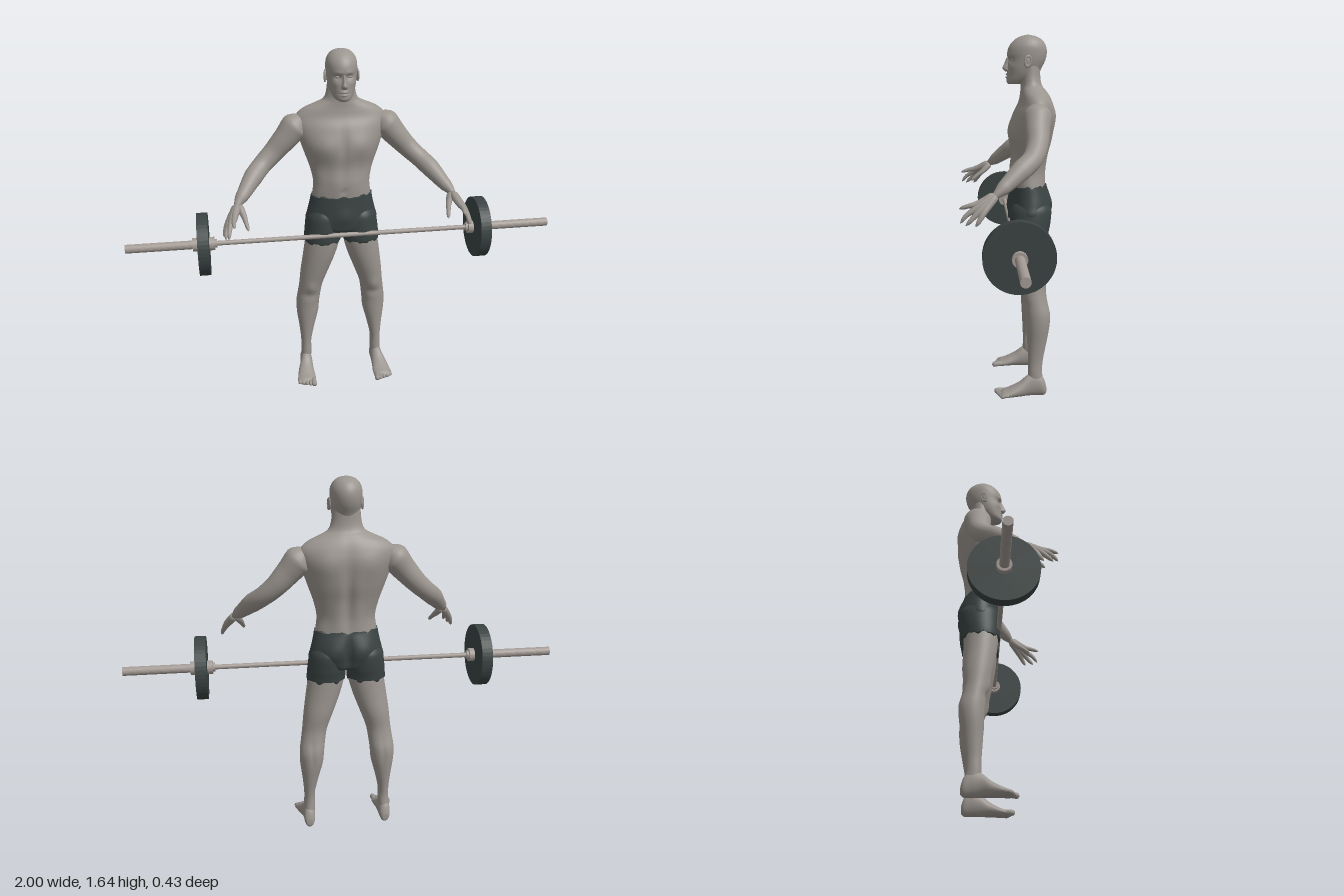
import * as THREE from 'three';
import { mergeVertices, mergeGeometries } from 'three/addons/utils/BufferGeometryUtils.js';

const mat = (name, color, extra = {}) => Object.assign(new THREE.MeshStandardMaterial({ color }), { name, ...extra });

// Smooth interpolation of one value through four neighbours
const spline = (a, b, c, d, t) =>
  b + 0.5 * t * (c - a + t * (2 * a - 5 * b + 4 * c - d + t * (3 * (b - c) + d - a)));

// Loft of elliptical rings. Row: [t, u0, u1, v0, v1]; axis y: u=x, v=z; axis z: u=x, v=y (rows front to back)
function loft(rows, { axis = 'y', seg = 40, sub = 6, sculpt = null } = {}) {
  const rings = [], n = rows.length;
  for (let i = 0; i < n - 1; i++) {
    const q = [-1, 0, 1, 2].map(k => rows[Math.min(n - 1, Math.max(0, i + k))]);
    for (let s = 0; s < sub; s++) rings.push(rows[0].map((_, k) => spline(q[0][k], q[1][k], q[2][k], q[3][k], s / sub)));
  }
  rings.push(rows[n - 1]);
  const collapse = r => [r[0], (r[1] + r[2]) / 2, (r[1] + r[2]) / 2, (r[3] + r[4]) / 2, (r[3] + r[4]) / 2];
  const all = [collapse(rings[0]), ...rings, collapse(rings[rings.length - 1])];
  const pos = [], idx = [];
  all.forEach(([t, u0, u1, v0, v1], i) => {
    for (let j = 0; j < seg; j++) {
      const a = j / seg * Math.PI * 2, c = Math.cos(a), s = Math.sin(a);
      const u = (u0 + u1) / 2 + c * (u1 - u0) / 2, v = (v0 + v1) / 2 + s * (v1 - v0) / 2;
      const p = axis === 'y' ? new THREE.Vector3(u, t, v) : new THREE.Vector3(u, v, t);
      if (sculpt) sculpt(p, s, a, (i - 1) / (all.length - 3));
      pos.push(p.x, p.y, p.z);
      if (i < all.length - 1) {
        const k = (j + 1) % seg, A = i * seg + j, D = i * seg + k;
        idx.push(A, A + seg, D, A + seg, D + seg, D);
      }
    }
  });
  const g = new THREE.BufferGeometry();
  g.setAttribute('position', new THREE.Float32BufferAttribute(pos, 3));
  g.setIndex(idx);
  g.computeVertexNormals();
  return g;
}

// Tapered rounded limb through points [x, y, z, radius]
function limb(pts, n = 24, seg = 16) {
  const curve = new THREE.CatmullRomCurve3(pts.map(p => new THREE.Vector3(...p)));
  const g = new THREE.TubeGeometry(curve, n, 1, seg, false), P = g.attributes.position;
  const v = new THREE.Vector3();
  for (let i = 0; i <= n; i++) {
    const u = i / n, f = curve.getUtoTmapping(u) * (pts.length - 1), k = Math.min(pts.length - 2, Math.floor(f));
    const round = Math.sqrt(Math.min(1, 8 * u + 0.001, 8 * (1 - u) + 0.001));
    const r = THREE.MathUtils.lerp(pts[k][3], pts[k + 1][3], f - k) * round, c = curve.getPointAt(u);
    for (let j = 0; j <= seg; j++) {
      const m = i * (seg + 1) + j;
      v.fromBufferAttribute(P, m).sub(c).multiplyScalar(r).add(c);
      P.setXYZ(m, v.x, v.y, v.z);
    }
  }
  g.deleteAttribute('uv');
  g.deleteAttribute('normal');
  const out = mergeVertices(g, 1e-5);
  out.computeVertexNormals();
  return out;
}

const ball = (x, y, z, a, b, c) => new THREE.SphereGeometry(1, 16, 12).scale(a, b, c).translate(x, y, z);

function mirror(geo) {
  const g = geo.clone().scale(-1, 1, 1), ix = g.index.array;
  for (let i = 0; i < ix.length; i += 3) [ix[i], ix[i + 1]] = [ix[i + 1], ix[i]];
  g.computeVertexNormals();
  return g;
}

// Soft muscle bumps: [x, y, rx, ry, amount, side], mirrored in x
const bumps = list => (p, s) => {
  let dz = 0;
  for (const [x, y, rx, ry, amp, side] of list) if (s * side > 0)
    dz += side * amp * Math.abs(s) * Math.exp(-(((Math.abs(p.x) - x) / rx) ** 2) - ((p.y - y) / ry) ** 2);
  p.z += dz;
};

export function createModel() {
  const model = new THREE.Group();
  const skin = mat('skin grey', 0x9b958f), dark = mat('dark cloth and rubber', 0x3a4342);
  const steel = mat('steel', 0xa39a94);
  const add = (name, geo, m) => {
    const mesh = new THREE.Mesh(geo, m);
    mesh.name = name;
    model.add(mesh);
  };
  const pair = (name, geo, m) => { add(name + 'Left', geo, m); add(name + 'Right', mirror(geo), m); };

  // Torso and neck
  const row = (y, w, zf, zb) => [y, -w, w, zb, zf];
  add('torso', loft([
    row(0.9, 0.14, -0.03, -0.18), row(0.965, 0.138, -0.018, -0.175), row(1.03, 0.132, -0.015, -0.173),
    row(1.1, 0.146, -0.022, -0.185), row(1.17, 0.17, -0.012, -0.204), row(1.23, 0.19, -0.015, -0.212),
    row(1.29, 0.207, -0.03, -0.215), row(1.335, 0.205, -0.052, -0.206), row(1.37, 0.17, -0.06, -0.192),
    row(1.395, 0.115, -0.062, -0.175), row(1.415, 0.08, -0.062, -0.16), row(1.45, 0.066, -0.06, -0.152),
    row(1.51, 0.06, -0.06, -0.15),
  ], { seg: 64, sculpt: bumps([
    [0.085, 1.21, 0.06, 0.05, 0.014, 1], [0, 1.22, 0.012, 0.08, -0.008, 1], // chest
    [0.04, 1.07, 0.025, 0.07, 0.005, 1], [0, 0.995, 0.01, 0.012, -0.008, 1], // stomach and navel
    [0, 1.15, 0.022, 0.16, -0.016, -1], [0.1, 1.27, 0.05, 0.06, 0.01, -1], // spine and shoulder blades
    [0.05, 1.03, 0.03, 0.07, 0.006, -1],
  ]) }), skin);

  // Head with brow, eye sockets, lips and cheeks
  add('head', loft([
    row(1.42, 0.022, -0.008, -0.07), row(1.432, 0.04, 0.001, -0.1), row(1.46, 0.055, -0.001, -0.14),
    row(1.49, 0.063, -0.002, -0.156), row(1.525, 0.068, -0.005, -0.173), row(1.56, 0.07, -0.002, -0.18),
    row(1.59, 0.067, -0.012, -0.175), row(1.615, 0.054, -0.034, -0.158), row(1.63, 0.034, -0.06, -0.132),
    row(1.637, 0.008, -0.088, -0.102),
  ], { seg: 64, sub: 8, sculpt: bumps([
    [0.026, 1.527, 0.014, 0.011, -0.01, 1], [0.025, 1.547, 0.02, 0.008, 0.004, 1],
    [0, 1.463, 0.016, 0.005, 0.006, 1], [0, 1.451, 0.014, 0.005, 0.006, 1],
    [0, 1.457, 0.022, 0.002, -0.005, 1], [0.04, 1.5, 0.014, 0.014, 0.004, 1],
  ]) }), skin);
  add('nose', loft([
    row(1.475, 0.008, 0.004, -0.03), row(1.482, 0.016, 0.013, -0.03), row(1.493, 0.013, 0.02, -0.03),
    row(1.51, 0.009, 0.012, -0.03), row(1.538, 0.007, 0.001, -0.03),
  ], { seg: 20 }), skin);
  pair('eye', ball(0.026, 1.527, -0.027, 0.012, 0.009, 0.012), skin);
  const ear = mergeGeometries([
    new THREE.TorusGeometry(0.014, 0.005, 8, 20).scale(1, 1.5, 1).rotateY(Math.PI / 2),
    ball(0, 0, 0, 0.004, 0.02, 0.013), ball(0, -0.022, 0.004, 0.005, 0.008, 0.007),
  ]).rotateX(-0.15).rotateY(0.25).translate(0.072, 1.522, -0.09);
  pair('ear', ear, skin);

  // Arms held out, with open hands
  pair('arm', limb([
    [0.15, 1.325, -0.125, 0.05], [0.2, 1.296, -0.122, 0.066], [0.25, 1.24, -0.117, 0.056],
    [0.31, 1.175, -0.112, 0.047], [0.365, 1.125, -0.088, 0.043], [0.41, 1.085, -0.04, 0.043],
    [0.455, 1.035, 0.02, 0.032], [0.485, 1.003, 0.06, 0.024], [0.5, 0.98, 0.09, 0.022],
  ], 48, 24), skin);
  const fingers = {
    indexFinger: [[0.505, 0.965, 0.142], [0.51, 0.958, 0.18], [0.508, 0.947, 0.216]],
    middleFinger: [[0.52, 0.952, 0.143], [0.53, 0.925, 0.185], [0.535, 0.893, 0.211]],
    ringFinger: [[0.53, 0.941, 0.134], [0.543, 0.91, 0.165], [0.548, 0.885, 0.19]],
    littleFinger: [[0.535, 0.934, 0.118], [0.549, 0.905, 0.135], [0.555, 0.883, 0.15]],
    thumb: [[0.466, 0.962, 0.098], [0.456, 0.935, 0.135], [0.448, 0.91, 0.165]],
  };
  for (const [name, [a, b, c]] of Object.entries(fingers))
    pair(name, limb([[0.487, 1.0, 0.065, 0.02], [...a, 0.014], [...b, 0.0095], [...c, 0.008]], 20, 10), skin);

  // Legs, rows rising from ankle to hip
  pair('leg', loft([
    [0.03, 0.158, 0.204, -0.168, -0.09], [0.11, 0.152, 0.204, -0.155, -0.09], [0.17, 0.152, 0.203, -0.158, -0.09],
    [0.25, 0.135, 0.21, -0.173, -0.086], [0.33, 0.114, 0.22, -0.188, -0.081], [0.39, 0.108, 0.221, -0.192, -0.077],
    [0.45, 0.1, 0.213, -0.178, -0.069], [0.5, 0.09, 0.206, -0.172, -0.06], [0.575, 0.062, 0.198, -0.178, -0.042],
    [0.66, 0.03, 0.186, -0.176, -0.027], [0.735, 0.01, 0.175, -0.175, -0.02], [0.8, 0.008, 0.165, -0.175, -0.02],
  ], { sculpt: (p, s) => {
    const g = (x, y, rx, ry) => Math.exp(-(((p.x - x) / rx) ** 2) - ((p.y - y) / ry) ** 2);
    if (s > 0) p.z += s * (0.007 * g(0.155, 0.49, 0.025, 0.03) - 0.006 * g(0.155, 0.44, 0.05, 0.02));
    else p.z += -s * 0.006 * g(0.165, 0.39, 0.01, 0.07);
  } }), skin);

  // Feet, rows from toes to heel
  pair('foot', loft([
    [0.04, 0.158, 0.226, 0.002, 0.02], [0.025, 0.149, 0.234, 0, 0.031], [-0.005, 0.147, 0.235, 0, 0.043],
    [-0.05, 0.151, 0.226, 0, 0.068], [-0.09, 0.152, 0.213, 0, 0.1], [-0.13, 0.153, 0.209, 0, 0.11],
    [-0.16, 0.157, 0.206, 0, 0.085], [-0.174, 0.168, 0.195, 0.012, 0.045],
  ], { axis: 'z', seg: 28 }), skin);
  const toes = [0, 1, 2, 3, 4].map(i => limb([
    [0.163 + i * 0.0165, 0.018, 0.01 - i * 0.003, 0.012 - i * 0.0005],
    [0.161 + i * 0.017, 0.017, 0.04 - i * 0.005, i ? 0.009 : 0.013],
    [0.16 + i * 0.0175, i ? 0.0095 : 0.013, 0.066 - i * 0.007, i ? 0.009 : 0.013],
  ], 14, 10));
  pair('toes', mergeGeometries(toes), skin);

  // Shorts: seat with a wavy waistband, and two legs with wavy hems
  const seat = bumps([[0.08, 0.88, 0.055, 0.055, 0.016, -1], [0, 0.86, 0.014, 0.08, -0.02, -1], [0, 0.87, 0.04, 0.04, 0.01, 1]]);
  add('shortsSeat', loft([
    row(0.785, 0.06, -0.04, -0.15), row(0.8, 0.14, -0.015, -0.185), row(0.84, 0.17, -0.01, -0.195),
    row(0.88, 0.162, -0.01, -0.199), row(0.925, 0.151, -0.011, -0.193), row(0.967, 0.143, -0.013, -0.181),
  ], { seg: 64, sculpt: (p, s, a, t) => {
    seat(p, s);
    if (t >= 1) p.y += 0.004 * Math.sin(a * 9) + 0.003 * Math.sin(a * 17);
  } }), dark);
  pair('shortsLeg', loft([
    [0.738, 0.004, 0.18, -0.183, -0.012], [0.76, 0.003, 0.179, -0.187, -0.01],
    [0.8, 0.002, 0.175, -0.195, -0.01], [0.86, 0.01, 0.166, -0.198, -0.015], [0.89, 0.02, 0.15, -0.18, -0.03],
  ], { seg: 56, sculpt: (p, s, a, t) => {
    if (t <= 0) p.y += 0.006 * Math.sin(a * 7) + 0.004 * Math.sin(a * 13);
  } }), dark);

  // Barbell lying along x
  const rod = (r, x0, x1, seg = 24) =>
    new THREE.CylinderGeometry(r, r, x1 - x0, seg).rotateZ(Math.PI / 2).translate((x0 + x1) / 2, 0.782, -0.017);
  add('bar', rod(0.011, -0.62, 0.62), steel);
  pair('sleeve', rod(0.02, 0.59, 1), steel);
  pair('innerCollar', rod(0.031, 0.6, 0.626), steel);
  pair('outerCollar', rod(0.031, 0.674, 0.7), steel);
  pair('plate', rod(0.144, 0.625, 0.675, 48), dark);

  // Hard edges for the mirrored metal parts
  model.traverse(o => {
    if (/(sleeve|Collar|plate)/.test(o.name)) {
      o.geometry = o.geometry.toNonIndexed();
      o.geometry.computeVertexNormals();
    }
  });
  return model;
}
